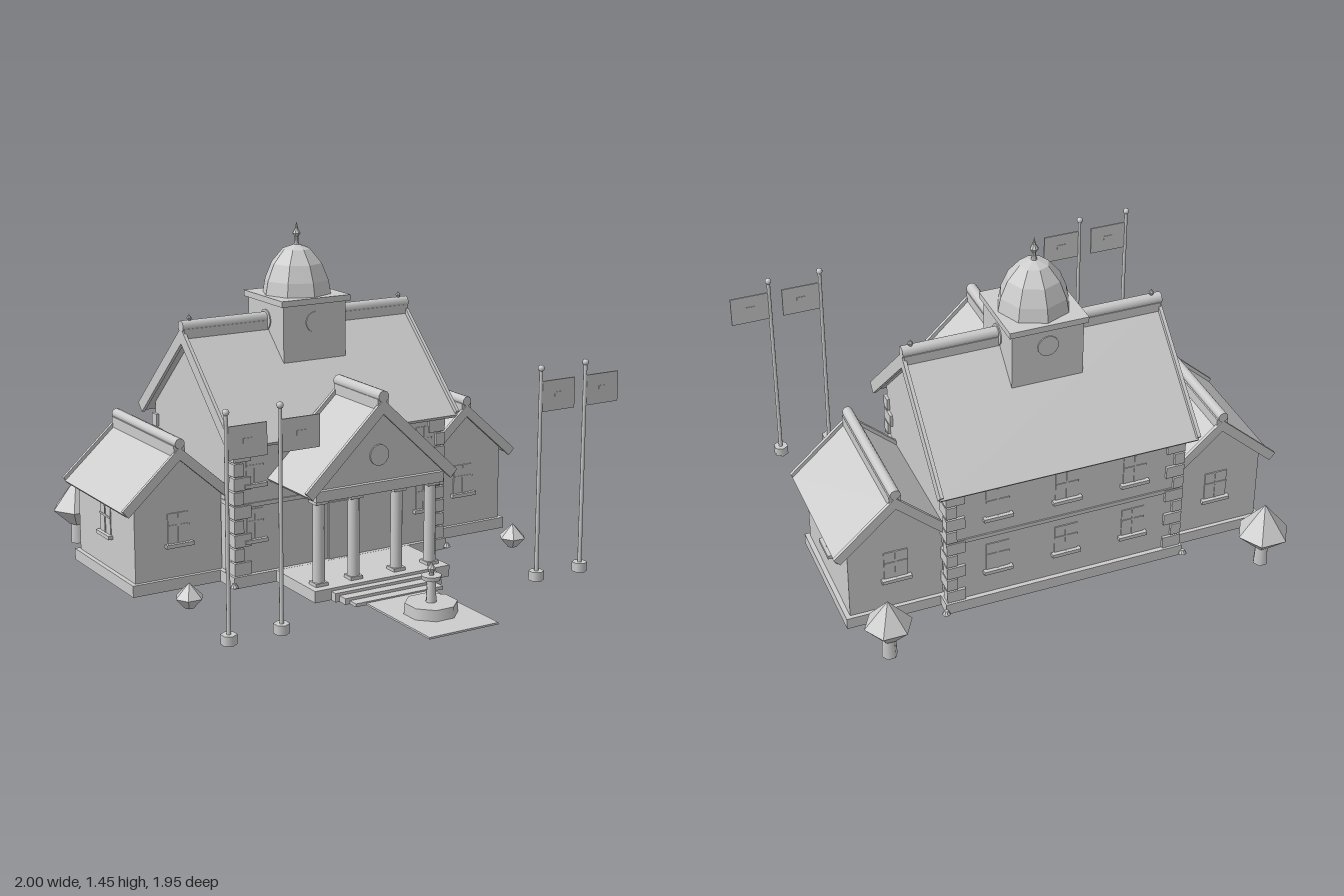
import * as THREE from 'three';

const stone = new THREE.MeshStandardMaterial({ color: 0xcccccc });
stone.name = 'pale stone grey';
const C = -0.023; // centre line of the house
const ZM = -0.323; // centre depth of the main block

function add(parent, name, geo, x = 0, y = 0, z = 0) {
  const m = new THREE.Mesh(geo, stone);
  m.name = name;
  m.position.set(x, y, z);
  parent.add(m);
  return m;
}
// box from its base height
const box = (p, name, w, h, d, x, y, z) => add(p, name, new THREE.BoxGeometry(w, h, d), x, y + h / 2, z);
const cyl = (p, name, r1, r2, h, n, x, y, z) => add(p, name, new THREE.CylinderGeometry(r1, r2, h, n), x, y + h / 2, z);
// faceted turned part
function turned(p, name, pts, n, x, y, z) {
  const g = new THREE.LatheGeometry(pts.map(q => new THREE.Vector2(q[0], q[1])), n).toNonIndexed();
  g.computeVertexNormals();
  return add(p, name, g, x, y, z);
}
const outline = pts => pts.map(q => new THREE.Vector2(q[0], q[1]));
function extrude(pts, depth, hole) {
  const shape = new THREE.Shape(outline(pts));
  if (hole) shape.holes.push(new THREE.Path(outline(hole)));
  const g = new THREE.ExtrudeGeometry(shape, { depth, bevelEnabled: false });
  return g.translate(0, 0, -depth / 2);
}
function group(parent, name, x = 0, z = 0) {
  const g = new THREE.Group();
  g.name = name;
  g.position.set(x, 0, z);
  parent.add(g);
  return g;
}
// plinth: a floor slab on a thin skirt, hollow beneath
function plinth(p, w, d, x, z) {
  const rect = k => [[-w / 2 + k, -d / 2 + k], [w / 2 - k, -d / 2 + k], [w / 2 - k, d / 2 - k], [-w / 2 + k, d / 2 - k]];
  add(p, 'plinthSkirt', extrude(rect(0), 0.04, rect(0.006)).rotateX(Math.PI / 2), x, 0.02, z);
  box(p, 'plinthFloor', w, 0.01, d, x, 0.04, z);
}

// gabled roof along local z: thin slab set below deeper verge boards, with a round ridge
function roof(p, hw, apex, eave, t, len, ridgeR, ridgeY) {
  const s = (apex - eave) / hw, L = Math.hypot(1, s);
  const fold = (top, half, th) => {
    const e = top - s * half, ix = half - th * s / L, iy = e - th / L;
    return [[0, top], [-half, e], [-ix, iy], [0, top - th * L], [ix, iy], [half, e]];
  };
  const top = apex - t / 2, th = t * 0.4;
  add(p, 'roofSlab', extrude(fold(top, hw - 0.007, th), len - 0.01));
  for (const k of [-1, 1]) {
    add(p, 'vergeBoard', extrude(fold(apex, hw, t), 0.015), 0, 0, k * (len / 2 - 0.0075));
  }
  box(p, 'ridgeBoard', 0.05, ridgeY - top + 0.01, len - 0.012, 0, top - 0.02, 0);
  const tube = new THREE.CylinderGeometry(ridgeR, ridgeR, len, 10).rotateX(Math.PI / 2);
  add(p, 'ridge', tube, 0, ridgeY, 0);
  return { s, inner: top - th * L };
}
// gabled walls fitted beneath a roof
function walls(p, hw, base, r, len) {
  const y = r.inner - r.s * hw;
  add(p, 'gabledWalls', extrude([[-hw, base], [hw, base], [hw, y], [0, r.inner], [-hw, y]], len));
}
// window with thin pane, bars and projecting sill; angle turns it outward
function windowUnit(p, x, y, z, angle, w = 0.1, h = 0.13) {
  const g = group(p, 'window', x, z);
  g.rotation.y = angle;
  box(g, 'pane', w, h, 0.006, 0, y, 0);
  box(g, 'mullion', 0.008, h, 0.012, 0, y, 0);
  box(g, 'transom', w, 0.008, 0.012, 0, y + h * 0.55, 0);
  box(g, 'sill', w + 0.026, 0.016, 0.03, 0, y - 0.016, 0.004);
}

function mainBlock(root) {
  const g = group(root, 'mainBlock', C, ZM);
  const turn = group(g, 'mainShell');
  turn.rotation.y = Math.PI / 2;
  const r = roof(turn, 0.434, 1.045, 0.635, 0.05, 1.125, 0.025, 1.05);
  walls(turn, 0.37, 0.045, r, 1.02);
  plinth(g, 1.06, 0.78, 0, 0);
  box(g, 'stringCourse', 1.028, 0.018, 0.752, 0, 0.338, 0);
  for (const sx of [-1, 1]) {
    turned(g, 'ridgeFinial', [[0.008, 0], [0.011, 0.012], [0, 0.028]], 8, sx * 0.522, 1.072, 0);
    for (const sz of [-1, 1]) {
      // alternating corner stones
      for (let i = 0; i < 9; i++) {
        const w = i % 2 ? 0.045 : 0.08, d = i % 2 ? 0.08 : 0.045;
        box(g, 'cornerStone', w, 0.054, d, sx * (0.522 - w / 2), 0.052 + i * 0.061, sz * (0.382 - d / 2));
      }
      turned(g, 'drainShoe', [[0, 0], [0.018, 0.008], [0.008, 0.025], [0, 0.025]], 8, sx * 0.533, 0.002, sz * 0.395);
    }
  }
  // front and back windows
  for (const x of [-0.42, 0.42]) {
    windowUnit(g, x, 0.2, 0.371, 0, 0.08);
    windowUnit(g, x, 0.44, 0.371, 0, 0.08);
  }
  for (const x of [-0.3, 0, 0.3]) {
    windowUnit(g, x, 0.17, -0.371, Math.PI);
    windowUnit(g, x, 0.44, -0.371, Math.PI);
  }
  box(g, 'door', 0.13, 0.25, 0.009, 0, 0.05, 0.372);
}

function wing(root, side) {
  const g = group(root, side > 0 ? 'leftWing' : 'rightWing', C + side * 0.714, -0.352);
  const r = roof(g, 0.263, 0.61, 0.375, 0.04, 0.614, 0.022, 0.626);
  walls(g, 0.2, 0.045, r, 0.555);
  plinth(g, 0.404, 0.59, side * 0.018, 0);
  windowUnit(g, 0, 0.198, 0.279, 0);
  windowUnit(g, 0, 0.198, -0.279, Math.PI);
  windowUnit(g, side * 0.201, 0.2, 0, side * Math.PI / 2);
}

function portico(root) {
  const g = group(root, 'portico', C, 0);
  const top = group(g, 'porticoRoof', 0, 0.203);
  const r = roof(top, 0.366, 0.81, 0.465, 0.045, 0.356, 0.025, 0.822);
  const hw = (r.inner - 0.45) / r.s;
  add(g, 'pediment', extrude([[-hw, 0.45], [hw, 0.45], [0, r.inner]], 0.3), 0, 0, 0.195);
  add(g, 'pedimentRoundel', new THREE.CylinderGeometry(0.045, 0.045, 0.009, 16).rotateX(Math.PI / 2), 0, 0.57, 0.347);
  box(g, 'entablature', 0.62, 0.045, 0.32, 0, 0.415, 0.205);
  plinth(g, 0.66, 0.318, 0, 0.227);
  for (const x of [-0.273, -0.105, 0.105, 0.273]) {
    cyl(g, 'column', 0.024, 0.026, 0.34, 12, x, 0.06, 0.318);
    box(g, 'columnBase', 0.058, 0.014, 0.058, x, 0.05, 0.318);
    box(g, 'columnCapital', 0.06, 0.016, 0.06, x, 0.399, 0.318);
  }
  // steps and path
  [[0.254, 0.421, 0.038], [0.235, 0.466, 0.026], [0.213, 0.512, 0.014]].forEach(([w, z, h]) =>
    box(g, 'step', w * 2, h, z - 0.387, 0, 0, (z + 0.387) / 2));
  box(g, 'path', 0.326, 0.008, 0.467, 0, 0, 0.738);
}

function cupola(root) {
  const g = group(root, 'cupola', C, ZM);
  box(g, 'drum', 0.308, 0.3, 0.308, 0, 0.82, 0);
  box(g, 'cornice', 0.338, 0.026, 0.338, 0, 1.118, 0);
  for (let i = 0; i < 4; i++) {
    const face = group(g, 'roundelFace');
    face.rotation.y = i * Math.PI / 2;
    add(face, 'roundel', new THREE.CylinderGeometry(0.045, 0.045, 0.008, 16).rotateX(Math.PI / 2), 0, 1.04, 0.155);
  }
  turned(g, 'dome', [[0.153, 0], [0.142, 0.06], [0.112, 0.132], [0.062, 0.192], [0, 0.215]], 8, 0, 1.143, 0);
  turned(g, 'spire', [[0.014, 0], [0.008, 0.02], [0.008, 0.035], [0.018, 0.052], [0.008, 0.07], [0, 0.102]], 8, 0, 1.35, 0);
}

function fountain(root) {
  const g = group(root, 'fountain', C, 0.738);
  cyl(g, 'basin', 0.108, 0.111, 0.05, 8, 0, 0.004, 0).rotation.y = Math.PI / 8;
  cyl(g, 'stem', 0.018, 0.022, 0.1, 8, 0, 0.05, 0);
  cyl(g, 'bowl', 0.043, 0.04, 0.018, 8, 0, 0.148, 0).rotation.y = Math.PI / 8;
  turned(g, 'jet', [[0.01, 0], [0.01, 0.012], [0.018, 0.03], [0, 0.057]], 8, 0, 0.164, 0);
}

function flagpole(root, x) {
  const g = group(root, 'flagpole', x, 0.613);
  cyl(g, 'footing', 0.033, 0.033, 0.04, 6, 0, 0, 0);
  cyl(g, 'pole', 0.008, 0.009, 0.87, 8, 0, 0.035, 0);
  add(g, 'ball', new THREE.SphereGeometry(0.014, 10, 8), 0, 0.913, 0);
  box(g, 'flag', 0.168, 0.13, 0.007, 0.09, 0.727, 0);
  box(g, 'flagPatch', 0.04, 0.02, 0.012, 0.09, 0.785, 0);
}

function tree(root, x, z, r, top) {
  const g = group(root, 'tree', x, z);
  g.rotation.y = Math.PI / 6;
  cyl(g, 'trunk', 0.028, 0.033, 0.1, 6, 0, 0, 0);
  turned(g, 'crown', [[0, 0.085], [0.035, 0.088], [r, 0.16], [0, top]], 6, 0, 0, 0);
}

export function createModel() {
  const root = new THREE.Group();
  root.name = 'manor';
  mainBlock(root);
  for (const s of [-1, 1]) wing(root, s);
  portico(root);
  cupola(root);
  fountain(root);
  for (const x of [-0.87, -0.638, 0.595, 0.825]) flagpole(root, x);
  tree(root, -0.843, -0.877, 0.112, 0.3);
  tree(root, 0.8, -0.852, 0.1, 0.275);
  for (const [x, z] of [[-0.817, 0.175], [0.773, 0.2]]) {
    turned(root, 'shrub', [[0, 0], [0.02, 0.003], [0.061, 0.048], [0, 0.11]], 6, x, 0, z).rotation.y = Math.PI / 6;
  }
  return root;
}
